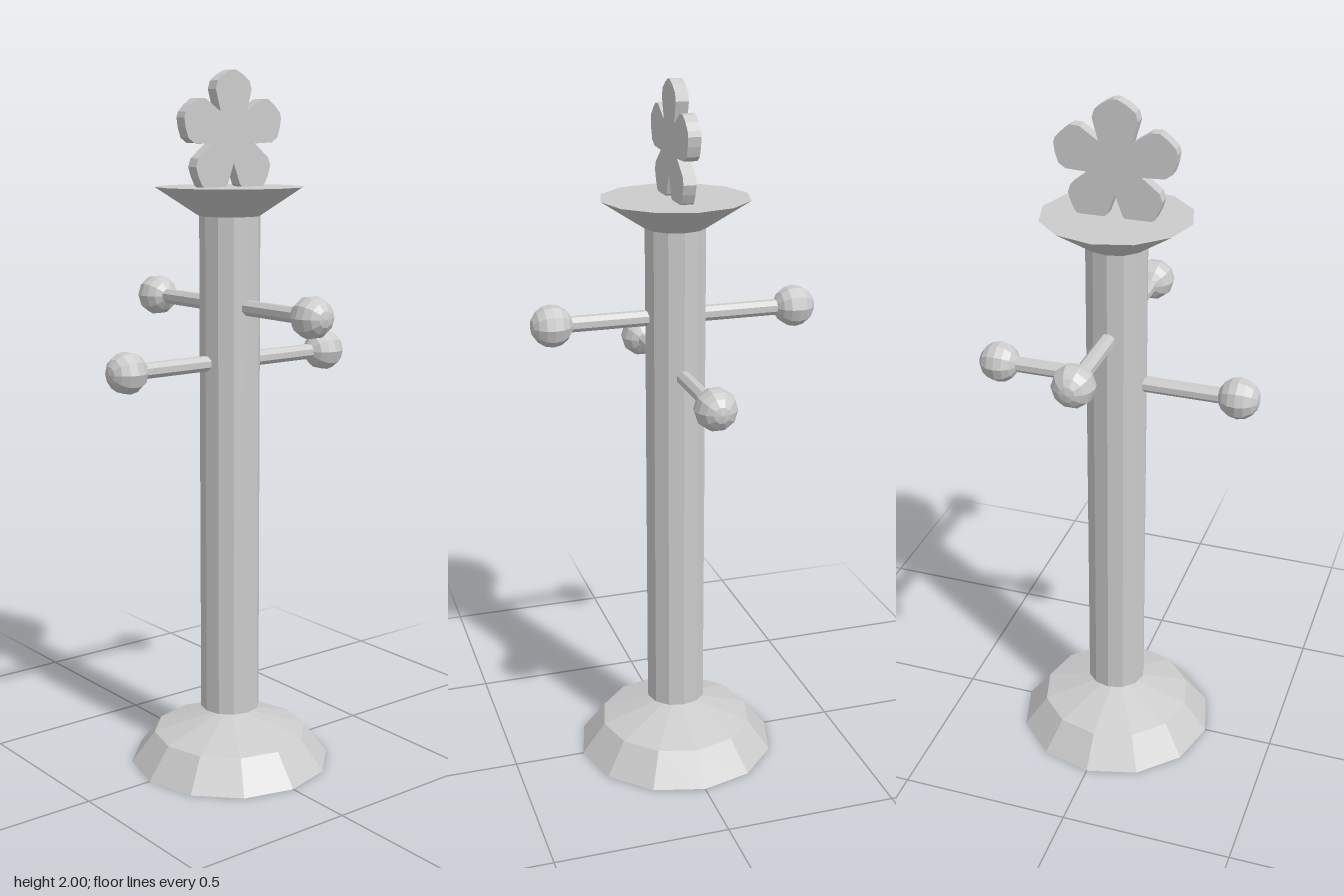
import * as THREE from 'three';

const SIDES = 12;

function material(side = THREE.FrontSide) {
  return new THREE.MeshStandardMaterial({ color: 0xcccccc, flatShading: true, side });
}

function part(name, geometry, parent, side) {
  const mesh = new THREE.Mesh(geometry, material(side));
  mesh.name = name;
  parent.add(mesh);
  return mesh;
}

// Five-petalled outline, each petal a list of [distance outward, offset sideways]
function flowerShape() {
  const petal = [[0.122, 0.062], [0.145, 0.055], [0.162, 0.032], [0.174, 0.008],
    [0.174, -0.008], [0.162, -0.032], [0.145, -0.055], [0.122, -0.062]];
  const valley = 0.077;
  const points = [];
  for (let i = 0; i < 5; i++) {
    const a = Math.PI / 2 - (i * Math.PI * 2) / 5;
    const c = Math.cos(a), s = Math.sin(a);
    for (const [r, w] of petal) points.push(new THREE.Vector2(r * c - w * s, r * s + w * c));
    const v = a - Math.PI / 5;
    points.push(new THREE.Vector2(valley * Math.cos(v), valley * Math.sin(v)));
  }
  return new THREE.Shape(points);
}

// Rod with a ball on its end, pointing along +z
function createPeg() {
  const peg = new THREE.Group();
  peg.name = 'peg';
  const rod = new THREE.CylinderGeometry(0.0225, 0.0225, 0.33, 8, 1, false, Math.PI / 8);
  rod.rotateX(Math.PI / 2).translate(0, 0, 0.165);
  part('pegRod', rod, peg);
  const ball = new THREE.SphereGeometry(0.059, 10, 8);
  ball.rotateX(Math.PI / 2).translate(0, 0, 0.352);
  part('pegBall', ball, peg);
  return peg;
}

export function createModel() {
  const model = new THREE.Group();
  model.name = 'pegStand';

  // Hollow base: sloped skirt and shallow cone, open underneath
  const profile = [[0.293, 0], [0.225, 0.09], [0, 0.16]].map(([x, y]) => new THREE.Vector2(x, y));
  part('base', new THREE.LatheGeometry(profile, SIDES), model, THREE.DoubleSide);

  // Column and flared top plate
  part('column', new THREE.CylinderGeometry(0.086, 0.086, 1.445, SIDES), model).position.y = 0.8875;
  part('topPlate', new THREE.CylinderGeometry(0.209, 0.086, 0.08, SIDES), model).position.y = 1.645;

  // Four pegs: the front and back pair sit higher than the side pair
  for (let i = 0; i < 4; i++) {
    const peg = createPeg();
    peg.position.y = i % 2 ? 1.197 : 1.355;
    peg.rotation.y = (i * Math.PI) / 2;
    model.add(peg);
  }

  // Flat flower standing on the plate
  const flower = new THREE.ExtrudeGeometry(flowerShape(), { depth: 0.036, bevelEnabled: false });
  part('flower', flower, model).position.set(0, 1.826, -0.018);

  return model;
}
